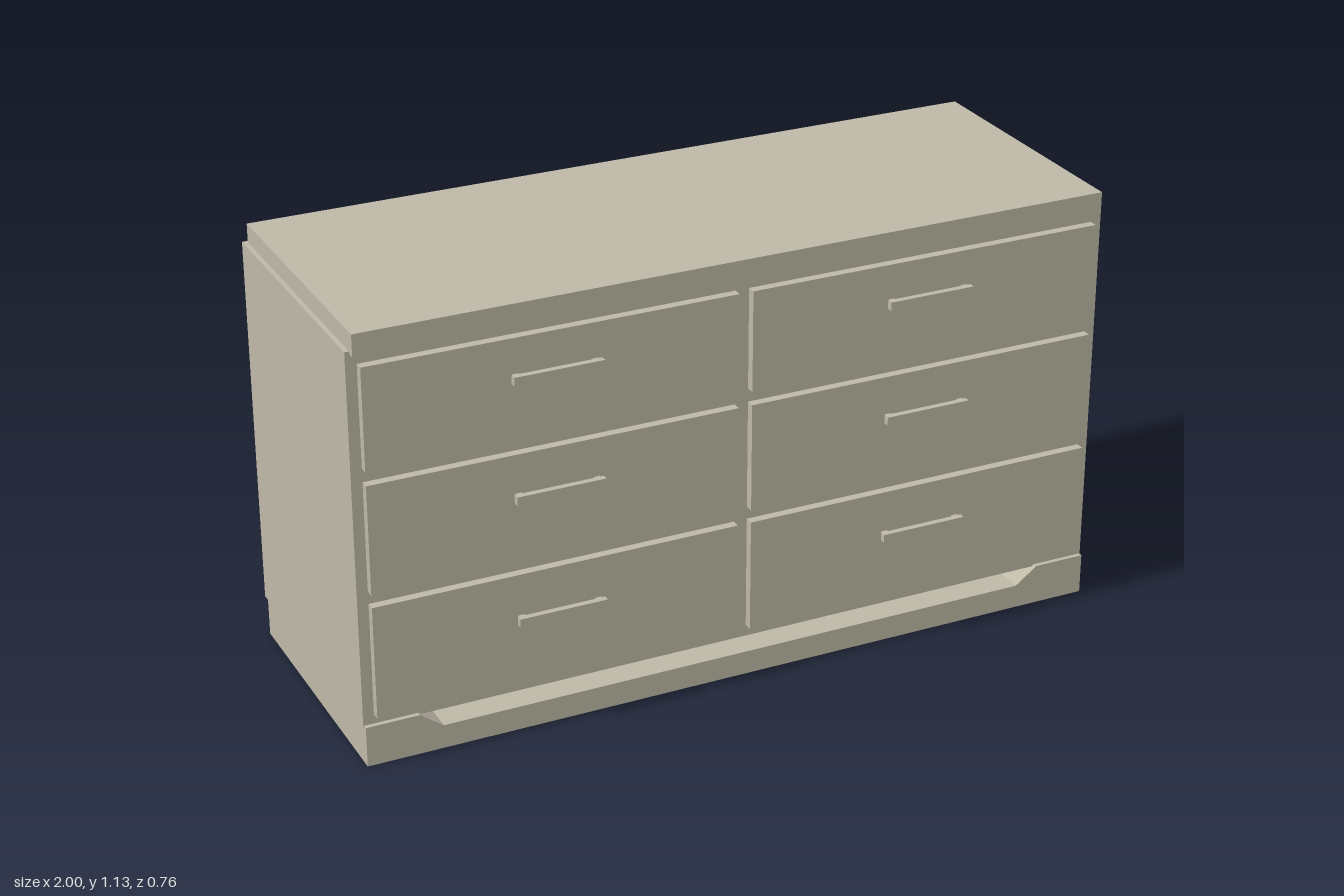
import * as THREE from 'three';

const wood = new THREE.MeshStandardMaterial({ color: 0xbdb7a6 });
wood.name = 'pale grey beige';

// Box given by its lower and upper limits on each axis
function block(name, [x0, x1], [y0, y1], [z0, z1]) {
  const mesh = new THREE.Mesh(new THREE.BoxGeometry(x1 - x0, y1 - y0, z1 - z0), wood);
  mesh.position.set((x0 + x1) / 2, (y0 + y1) / 2, (z0 + z1) / 2);
  mesh.name = name;
  return mesh;
}

// Plinth with a shallow recess running from front to back
function createPlinth() {
  const shape = new THREE.Shape([
    [-0.998, 0], [0.998, 0], [0.998, 0.107], [0.86, 0.107], [0.8, 0.063],
    [-0.8, 0.063], [-0.86, 0.107], [-0.998, 0.107],
  ].map(([x, y]) => new THREE.Vector2(x, y)));
  const geometry = new THREE.ExtrudeGeometry(shape, { depth: 0.711, bevelEnabled: false });
  const mesh = new THREE.Mesh(geometry, wood);
  mesh.position.z = -0.366;
  mesh.name = 'plinth';
  return mesh;
}

// Bar handle on two short posts
function createHandle(x, y) {
  const handle = new THREE.Group();
  handle.name = 'handle';
  handle.add(block('handleBar', [-0.115, 0.115], [-0.011, 0.011], [0.366, 0.382]));
  for (const side of [-1, 1]) {
    const post = side * 0.101;
    handle.add(block('handlePost', [post - 0.008, post + 0.008], [-0.008, 0.008], [0.352, 0.37]));
  }
  handle.position.set(x, y, 0);
  return handle;
}

export function createModel() {
  const model = new THREE.Group();
  model.name = 'dresser';
  model.add(createPlinth());
  model.add(block('carcass', [-1, 1], [0.102, 1.084], [-0.382, 0.333]));
  model.add(block('topPanel', [-0.988, 0.988], [1.076, 1.133], [-0.373, 0.351]));

  // Three rows of drawers in two columns: bottom, top, handle height
  const rows = [[0.132, 0.432, 0.315], [0.465, 0.751, 0.642], [0.786, 1.05, 0.951]];
  for (const [bottom, top, handleY] of rows) {
    for (const side of [-1, 1]) {
      const x = side * 0.495;
      const drawer = new THREE.Group();
      drawer.name = 'drawer';
      drawer.add(block('drawerFront', [x - 0.477, x + 0.477], [bottom, top], [0.32, 0.356]));
      drawer.add(createHandle(x, handleY));
      model.add(drawer);
    }
  }
  return model;
}
